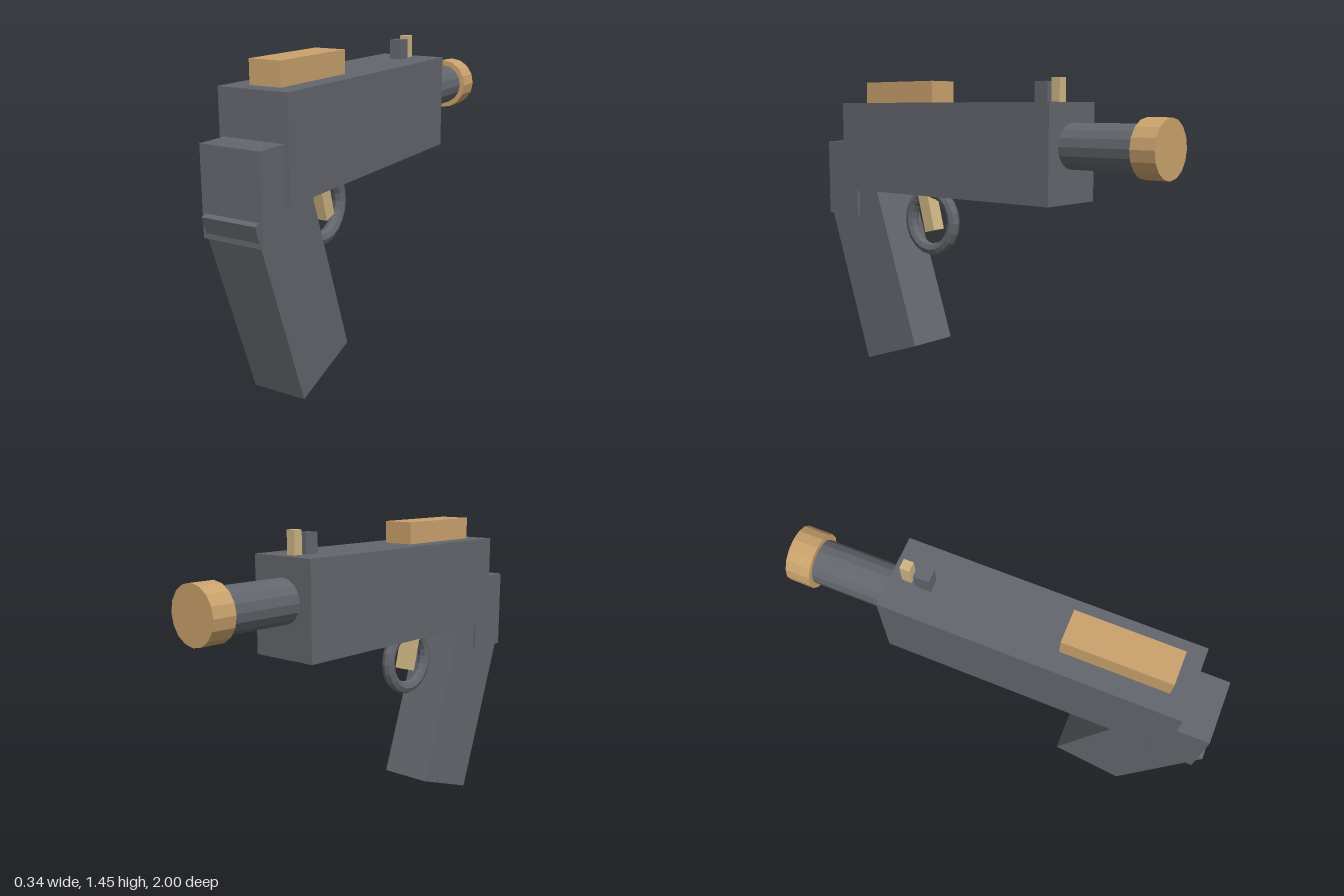
import * as THREE from 'three';

export function createModel() {
  const model = new THREE.Group();
  const material = (name, color) => {
    const m = new THREE.MeshStandardMaterial({ color, flatShading: true });
    m.name = name;
    return m;
  };
  const grey = material('gunmetal grey', 0x63666c);
  const tan = material('warm tan', 0xcaa26c);
  const sand = material('pale sand', 0xcdb583);

  const add = (name, geometry, mat, x, y, z, tilt = 0) => {
    const mesh = new THREE.Mesh(geometry, mat);
    mesh.name = name;
    mesh.position.set(x, y, z);
    mesh.rotation.x = tilt;
    model.add(mesh);
    return mesh;
  };
  // Upright box given by its width and its y and z limits
  const block = (name, mat, width, y0, y1, z0, z1) =>
    add(name, new THREE.BoxGeometry(width, y1 - y0, z1 - z0), mat, 0, (y0 + y1) / 2, (z0 + z1) / 2);
  // Cylinder lying along z
  const tube = (name, mat, radius, z0, z1) =>
    add(name, new THREE.CylinderGeometry(radius, radius, z1 - z0, 16), mat, 0, 1.154, (z0 + z1) / 2, Math.PI / 2);

  // Body and the block behind it
  block('body', grey, 0.336, 0.9, 1.345, -0.515, 0.825);
  block('rearBlock', grey, 0.29, 0.763, 1.145, 0.75, 0.975);

  // Slanted grip
  add('grip', new THREE.BoxGeometry(0.26, 0.906, 0.376), grey, 0, 0.493, 0.673, 0.338);

  // Barrel and end cap
  tube('barrel', grey, 0.102, -0.9, -0.5);
  tube('barrelCap', tan, 0.128, -1, -0.885);

  // Top plate and sights
  block('topPlate', tan, 0.152, 1.34, 1.45, 0.265, 0.74);
  block('rearSight', grey, 0.06, 1.34, 1.437, -0.4, -0.328);
  block('frontSight', sand, 0.046, 1.34, 1.452, -0.462, -0.418);

  // Trigger inside its ring guard
  add('trigger', new THREE.BoxGeometry(0.07, 0.25, 0.066), sand, 0, 0.828, 0.362, 0.262);
  const guard = add('triggerGuard', new THREE.TorusGeometry(0.146, 0.032, 8, 20), grey, 0, 0.755, 0.345);
  guard.rotation.y = Math.PI / 2;

  return model;
}
